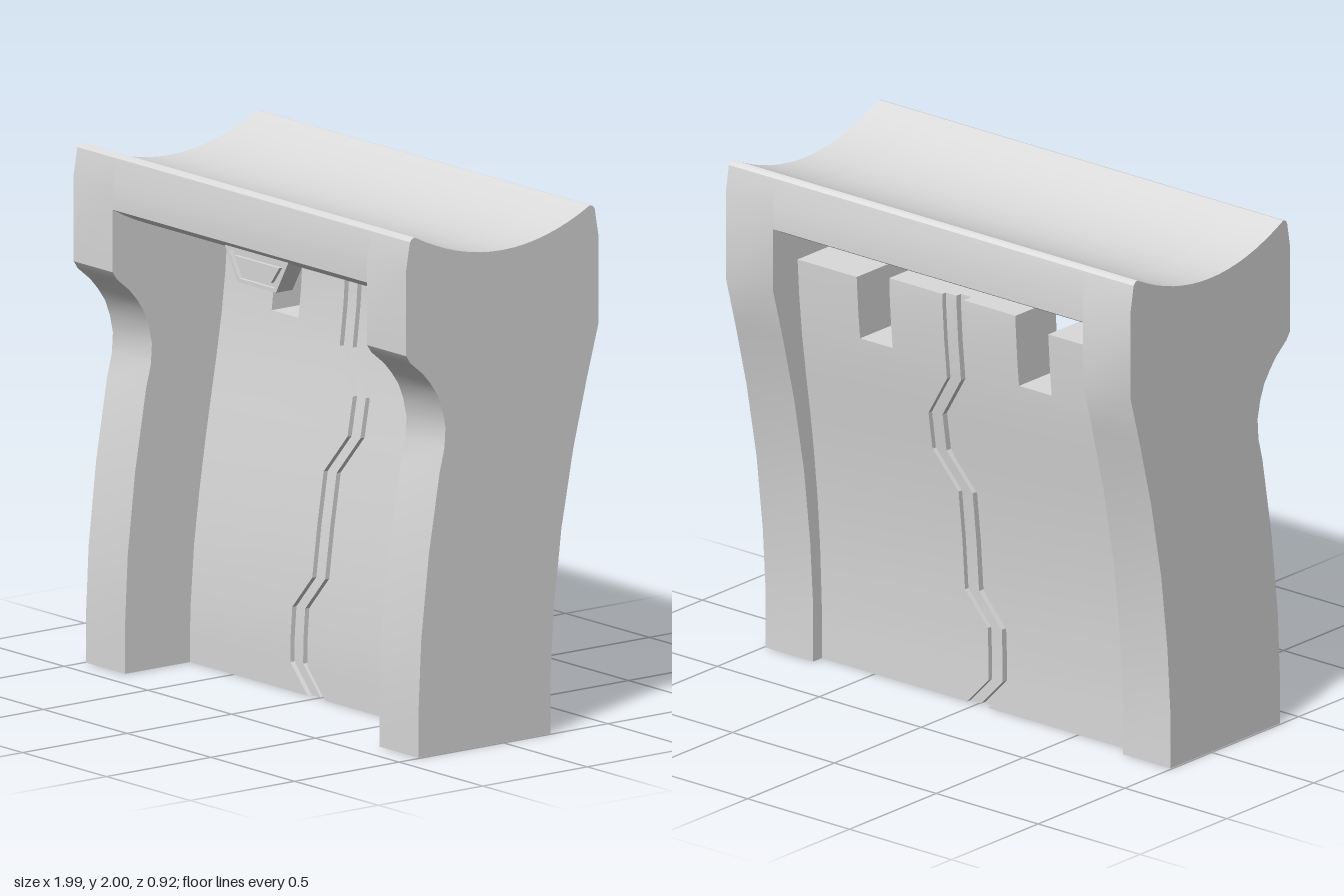
import * as THREE from 'three';
import { toCreasedNormals } from 'three/addons/utils/BufferGeometryUtils.js';

// Double sided because the legs and one wall half are open underneath
const grey = new THREE.MeshStandardMaterial({ color: 0xdadada, side: THREE.DoubleSide });
grey.name = 'grey';

function part(name, geometry, parent) {
  const mesh = new THREE.Mesh(toCreasedNormals(geometry, 0.5), grey);
  mesh.name = name;
  parent.add(mesh);
  return mesh;
}

const shapeOf = (pts) => new THREE.Shape(pts.map(([x, y]) => new THREE.Vector2(x, y)));

// Extrude a (z, y) side profile from x0 to x1
function sideExtrude(profile, x0, x1) {
  const g = new THREE.ExtrudeGeometry(shapeOf(profile), { depth: x1 - x0, bevelEnabled: false });
  return g.rotateY(-Math.PI / 2).translate(x1, 0, 0);
}

// Drop the triangles that lie on the ground
function openBottom(geometry) {
  const p = geometry.attributes.position, kept = [];
  for (let i = 0; i < p.count; i += 3) {
    if (Math.max(p.getY(i), p.getY(i + 1), p.getY(i + 2)) < 1e-4) continue;
    for (let k = i; k < i + 3; k++) kept.push(p.getX(k), p.getY(k), p.getZ(k));
  }
  const g = new THREE.BufferGeometry();
  g.setAttribute('position', new THREE.Float32BufferAttribute(kept, 3));
  return g;
}

// Linear interpolation through [y, value] pairs
function track(keys) {
  return (y) => {
    for (let i = 1; i < keys.length; i++) {
      const [y0, v0] = keys[i - 1], [y1, v1] = keys[i];
      if (y <= y1) return v0 + ((v1 - v0) * (y - y0)) / (y1 - y0);
    }
    return keys[keys.length - 1][1];
  };
}

// Curved front and back of the wall, and the zigzag seam
const wallFront = track([[0, 0.09], [0.2, 0.088], [0.45, 0.07], [0.65, 0.045], [0.85, 0.015],
  [1, -0.01], [1.15, -0.036], [1.32, -0.062], [1.48, -0.08], [1.63, -0.09]]);
const wallBack = track([[0, -0.18], [0.2, -0.18], [0.45, -0.19], [0.65, -0.205], [0.85, -0.227],
  [1, -0.247], [1.15, -0.27], [1.32, -0.294], [1.48, -0.31], [1.63, -0.32]]);
const seam = track([[0, -0.005], [0.11, -0.11], [0.32, -0.11], [0.45, -0.003], [0.85, -0.003],
  [1, 0.108], [1.15, 0.108], [1.32, -0.003], [1.63, -0.003]]);
const levels = [0, 0.11, 0.2, 0.32, 0.45, 0.65, 0.85, 1, 1.15, 1.32, 1.38, 1.48, 1.63, 1.665];

// Loft of rectangular cross-sections that follows the wall curve
function slab(left, right, y0, y1, frontInset = 0, backInset = 0) {
  const ys = levels.filter((y) => y >= y0 && y <= y1);
  const pos = [], idx = [];
  for (const y of ys) {
    const f = wallFront(y) - frontInset, b = wallBack(y) + backInset;
    pos.push(left(y), y, f, right(y), y, f, right(y), y, b, left(y), y, b);
  }
  for (let i = 0; i < ys.length - 1; i++) {
    for (let k = 0; k < 4; k++) {
      const a = i * 4 + k, b = i * 4 + ((k + 1) % 4);
      idx.push(a, b, b + 4, a, b + 4, a + 4);
    }
  }
  const t = (ys.length - 1) * 4;
  idx.push(0, 3, 2, 0, 2, 1, t, t + 1, t + 2, t, t + 2, t + 3);
  const g = new THREE.BufferGeometry();
  g.setAttribute('position', new THREE.Float32BufferAttribute(pos, 3));
  g.setIndex(idx);
  return g.toNonIndexed();
}

export function createModel() {
  const model = new THREE.Group();
  model.name = 'gateway';

  // Concave saddle along the top, front to back
  const saddle = [[0.46, 1.88], [0.442, 1.985], [0.432, 1.996], [0.42, 2]];
  for (let i = 1; i < 16; i++) {
    const z = 0.42 - (0.84 * i) / 16;
    saddle.push([z, 1.89 + 0.11 * (z / 0.42) ** 2]);
  }
  saddle.push([-0.42, 2], [-0.432, 1.996], [-0.442, 1.985], [-0.46, 1.88]);

  // Side legs with the curved shoulder
  const legProfile = [
    [0.4, 0], [0.4, 0.2], [0.388, 0.45], [0.352, 0.77], [0.3, 1.08], [0.277, 1.17],
    [0.272, 1.25], [0.287, 1.32], [0.31, 1.38], [0.345, 1.43], [0.38, 1.47], [0.44, 1.52], [0.46, 1.55],
    ...saddle,
    [-0.46, 1.54], [-0.405, 1.34], [-0.34, 1.08], [-0.283, 0.78], [-0.247, 0.48], [-0.23, 0.22], [-0.23, 0],
  ];
  part('leftLeg', openBottom(sideExtrude(legProfile, 0.76, 0.993)), model);
  part('rightLeg', openBottom(sideExtrude(legProfile, -0.993, -0.76)), model);

  // Lintel whose underside sags parallel to the saddle
  const underside = [];
  for (let i = 0; i <= 16; i++) {
    const z = -0.46 + (0.92 * i) / 16;
    underside.push([z, 1.66 + 0.13 * (z / 0.46) ** 2]);
  }
  part('lintel', sideExtrude([...saddle, ...underside], -0.76, 0.76), model);

  // Two wall halves with square notches; the inner tabs reach the lintel
  const wall = new THREE.Group();
  wall.name = 'wall';
  model.add(wall);
  const at = (x) => () => x;
  const seamL = (y) => seam(y) - 0.052, seamR = (y) => seam(y) + 0.052;
  part('rightWallHalf', openBottom(slab(at(-0.76), seamL, 0, 1.38)), wall);
  part('leftWallHalf', slab(seamR, at(0.76), 0, 1.38), wall);
  part('rightOuterTab', slab(at(-0.76), at(-0.47), 1.38, 1.63), wall);
  part('rightInnerTab', slab(at(-0.31), seamL, 1.38, 1.665), wall);
  part('leftInnerTab', slab(seamR, at(0.31), 1.38, 1.665), wall);
  part('leftOuterTab', slab(at(0.47), at(0.76), 1.38, 1.63), wall);

  // Stepped strips of the lap joint inside the zigzag seam
  part('seamStepRight', slab(seamL, seam, 0, 1.665, 0.02, 0.045), wall);
  part('seamStepLeft', slab(seam, seamR, 0, 1.665, 0.04, 0.02), wall);

  // Latch: nested trapezoids hanging upright from the lintel
  const trapezoid = (top, bottom, h) => [[-bottom, -h], [bottom, -h], [top, h], [-top, h]];
  const latch = new THREE.Group();
  latch.name = 'latch';
  latch.position.set(0, 1.685, 0.33);
  model.add(latch);
  const rim = shapeOf(trapezoid(0.19, 0.115, 0.065));
  rim.holes.push(new THREE.Path(trapezoid(0.165, 0.105, 0.05).map(([x, y]) => new THREE.Vector2(x, y))));
  const extrude = (shape, depth) => new THREE.ExtrudeGeometry(shape, { depth, bevelEnabled: false });
  part('latchRim', extrude(rim, 0.08).translate(0, 0, -0.03), latch);
  part('latchBase', extrude(shapeOf(trapezoid(0.175, 0.11, 0.056)), 0.065).translate(0, 0, -0.03), latch);
  part('latchBoss', extrude(shapeOf(trapezoid(0.135, 0.085, 0.033)), 0.05), latch);

  return model;
}
